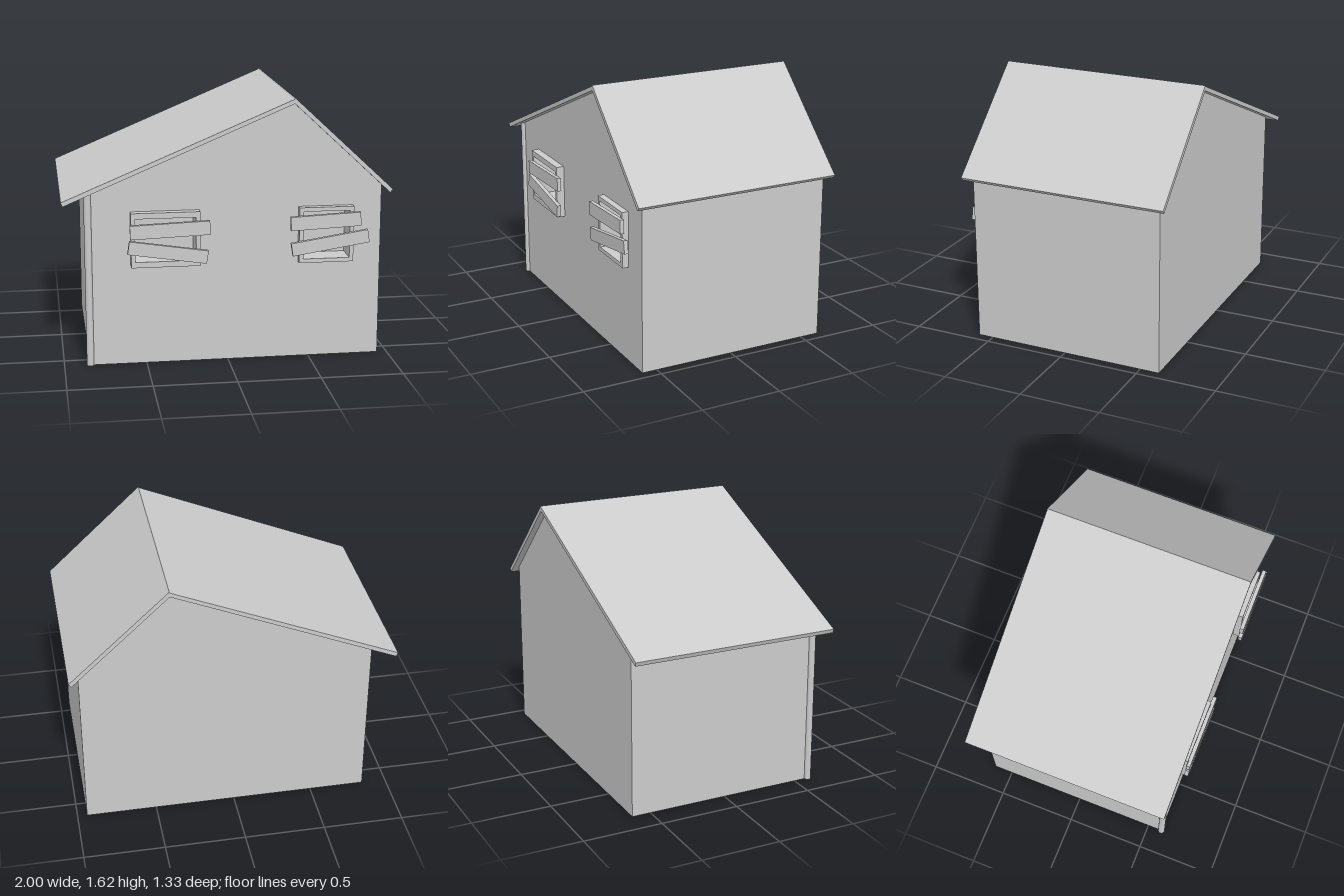
import * as THREE from 'three';

const material = new THREE.MeshStandardMaterial({ color: 0xcccccc });

function add(parent, name, geometry, x = 0, y = 0, z = 0) {
  const mesh = new THREE.Mesh(geometry, material);
  mesh.name = name;
  mesh.position.set(x, y, z);
  parent.add(mesh);
  return mesh;
}

const polygon = (points) => new THREE.Shape(points.map(([x, y]) => new THREE.Vector2(x, y)));

const rectangle = (x0, x1, y0, y1) => polygon([[x0, y0], [x1, y0], [x1, y1], [x0, y1]]);

// Extrudes a front outline between two depths
function slab(shape, z0, z1) {
  return new THREE.ExtrudeGeometry(shape, { depth: z1 - z0, bevelEnabled: false }).translate(0, 0, z0);
}

const WALL_FRONT = 0.595, WALL_BACK = -0.62, RECESS = 0.48;
const GABLE = [[-0.845, 0], [0.94, 0], [0.94, 1.075], [0.39, 1.588], [-0.845, 1.067]];

// Planks: centre x, centre y, length, height, tilt in degrees
const WINDOWS = [
  {
    name: 'rightWindow', outer: [-0.59, -0.175, 0.615, 0.95], inner: [-0.565, -0.2, 0.65, 0.915], front: 0.645,
    planks: [[-0.357, 0.845, 0.48, 0.085, 2.0], [-0.37, 0.708, 0.48, 0.08, -8.7]],
  },
  {
    name: 'leftWindow', outer: [0.43, 0.765, 0.605, 0.95], inner: [0.455, 0.74, 0.63, 0.925], front: 0.635,
    planks: [[0.587, 0.867, 0.43, 0.085, 2.6], [0.616, 0.733, 0.477, 0.08, 8.8]],
  },
];

export function createModel() {
  const house = new THREE.Group();
  house.name = 'house';

  // House body, with a front wall pierced by the window recesses
  add(house, 'houseBody', slab(polygon(GABLE), WALL_BACK, RECESS));
  const frontShape = polygon(GABLE);
  for (const w of WINDOWS) frontShape.holes.push(rectangle(...w.inner));
  add(house, 'frontWall', slab(frontShape, RECESS, WALL_FRONT));

  // Two uneven roof slopes meeting at an off-centre ridge
  const roof = new THREE.Group();
  roof.name = 'roof';
  house.add(roof);
  add(roof, 'longRoofSlope', slab(polygon([[-0.99, 1.003], [0.39, 1.585], [0.39, 1.612], [-1, 1.029]]), -0.663, 0.643));
  add(roof, 'shortRoofSlope', slab(polygon([[0.983, 1.03], [1, 1.05], [0.393, 1.618], [0.38, 1.603], [0.39, 1.585]]), -0.663, 0.643));

  // Round post on the front corner
  add(house, 'cornerPost', new THREE.CylinderGeometry(0.022, 0.022, 1.07, 24), -0.843, 0.535, 0.593);

  // Boarded windows
  for (const w of WINDOWS) {
    const window = new THREE.Group();
    window.name = w.name;
    house.add(window);
    const frame = rectangle(...w.outer);
    frame.holes.push(rectangle(...w.inner));
    add(window, 'windowFrame', slab(frame, WALL_FRONT, w.front));
    for (const [x, y, length, height, tilt] of w.planks) {
      const plank = add(window, 'plank', new THREE.BoxGeometry(length, height, 0.025), x, y, 0.653);
      plank.rotation.z = THREE.MathUtils.degToRad(tilt);
    }
  }
  return house;
}
